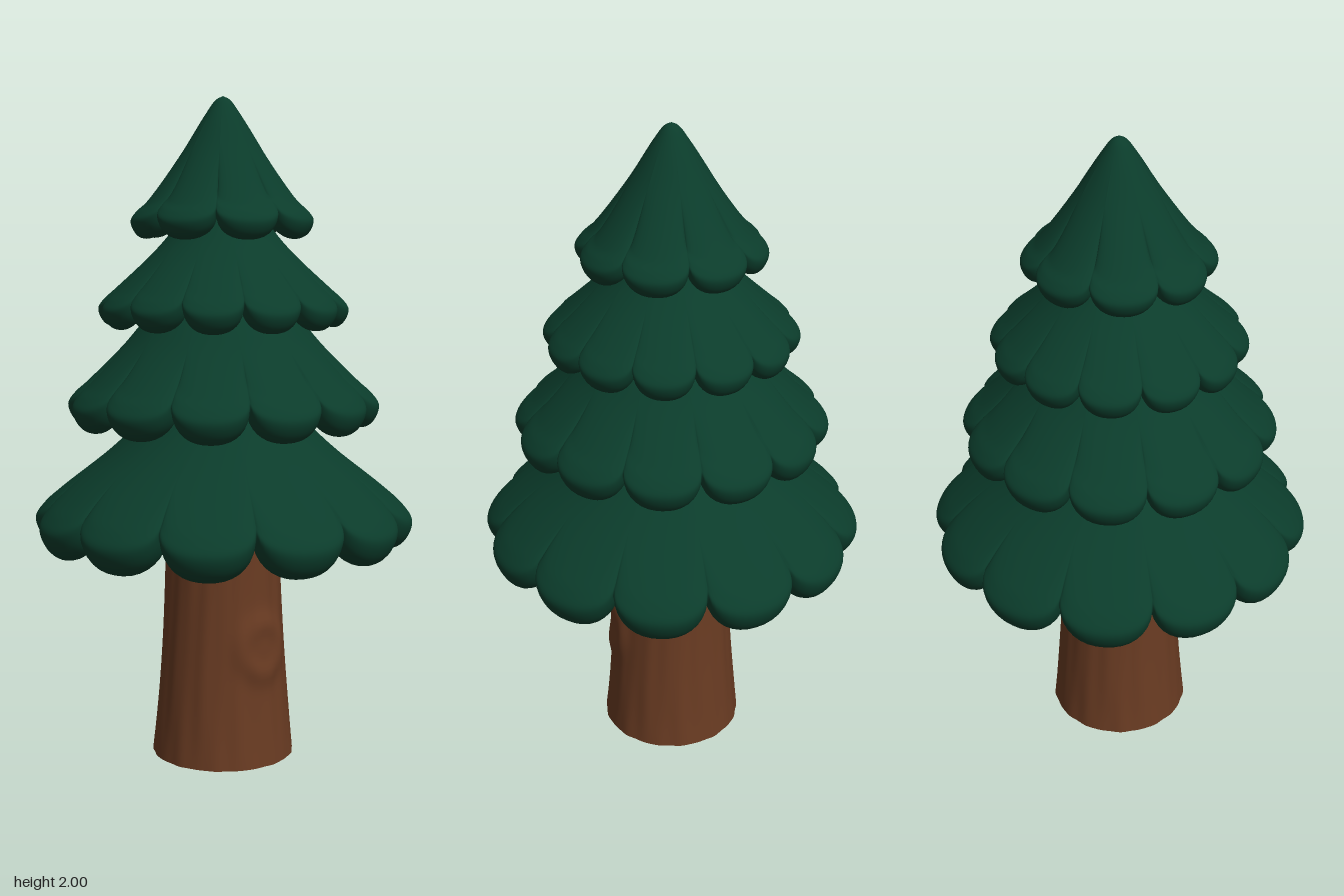
import * as THREE from 'three';

const leafMat = new THREE.MeshStandardMaterial({ color: 0x0b3c2b });
leafMat.name = 'pineGreen';
const barkMat = new THREE.MeshStandardMaterial({ color: 0x693b22 });
barkMat.name = 'barkBrown';

// Closed ring surface: fn(column, row) gives a point; rows run from top to bottom
function ringSurface(cols, rows, fn) {
  const pos = [], index = [];
  for (let j = 0; j < rows; j++)
    for (let i = 0; i < cols; i++) pos.push(...fn(i, j));
  for (let j = 0; j < rows - 1; j++)
    for (let i = 0; i < cols; i++) {
      const n = (i + 1) % cols;
      const a = j * cols + i, b = a + cols, c = b - i + n, d = a - i + n;
      index.push(a, b, c, a, c, d);
    }
  const geo = new THREE.BufferGeometry();
  geo.setAttribute('position', new THREE.Float32BufferAttribute(pos, 3));
  geo.setIndex(index);
  geo.computeVertexNormals();
  return geo;
}

// Smooth profile through [radius, height] points
const smooth = (points, count) => new THREE.CatmullRomCurve3(
  points.map(([r, y]) => new THREE.Vector3(r, y, 0)), false, 'centripetal').getPoints(count);

// Rim sections as [radial, height] offsets: through the middle of a lobe and through a notch
const LOBE_RIM = [
  [-0.075, 0.165], [-0.025, 0.12], [0, 0.08], [-0.015, 0.03], [-0.045, 0.002], [-0.085, 0], [-0.125, 0.035],
];
const NOTCH_RIM = [
  [-0.15, 0.222], [-0.09, 0.165], [-0.068, 0.138], [-0.075, 0.117], [-0.095, 0.108], [-0.13, 0.108], [-0.155, 0.125],
];

// Skirt of branches that blends between the lobe and notch sections
function tierGeometry({ R, y, lobes, rim, top, under }) {
  const section = (offsets) => {
    const pts = [...top, ...offsets.map(([r, h]) => [R + r * rim, y + h * rim]), under];
    return smooth(pts, pts.length * 5);
  };
  const lobe = section(LOBE_RIM), notch = section(NOTCH_RIM);
  const perLobe = 18;
  return ringSurface(lobes * perLobe, lobe.length, (i, j) => {
    // samples gather towards the notches
    const t = Math.sin((Math.PI / 2) * ((2 * (i % perLobe)) / perLobe - 1));
    const a = ((Math.floor(i / perLobe) + (t + 1) / 2) / lobes) * Math.PI * 2;
    const p = lobe[j].clone().lerp(notch[j], 1 - Math.sqrt(1 - Math.abs(t) ** 2.3));
    return [p.x * Math.sin(a), p.y, p.x * Math.cos(a)];
  });
}

// Flared trunk with faint bark grooves and a round knot on the front
function trunkGeometry() {
  const outline = smooth([
    [0.172, 0.92], [0.174, 0.7], [0.18, 0.5], [0.191, 0.3], [0.207, 0.1], [0.217, 0],
  ], 60);
  const rows = [...outline, outline[60].clone(), new THREE.Vector3(0, 0, 0)];
  const cols = 120;
  return ringSurface(cols, rows.length, (i, j) => {
    const a = (i / cols) * Math.PI * 2, { x: r0, y } = rows[j];
    let r = r0;
    if (r > 0) {
      r += 0.0012 * Math.sin(13 * a + 2 * Math.sin(5 * y)) + 0.0008 * Math.sin(22 * a - 4 * y);
      const side = Math.atan2(Math.sin(a), Math.cos(a)) * r0;
      const d = Math.hypot(side, (y - 0.36) * 0.9);
      r += 0.012 * Math.exp(-(((d - 0.065) / 0.033) ** 2)) + 0.007 * Math.exp(-((d / 0.035) ** 2));
    }
    return [r * Math.sin(a), y, r * Math.cos(a)];
  });
}

export function createModel() {
  const tree = new THREE.Group();
  tree.name = 'pineTree';

  const add = (name, geo, mat) => {
    const mesh = new THREE.Mesh(geo, mat);
    mesh.name = name;
    tree.add(mesh);
  };

  add('trunk', trunkGeometry(), barkMat);

  // Branch tiers from the bottom up; each upper end hides inside the next tier
  const tiers = [
    { name: 'bottomBranches', R: 0.577, y: 0.655, lobes: 12, rim: 1,
      top: [[0.13, 1.2], [0.19, 1.11], [0.265, 1.02], [0.35, 0.94]], under: [0.15, 0.9] },
    { name: 'lowerBranches', R: 0.472, y: 1.022, lobes: 12, rim: 0.8,
      top: [[0.1, 1.5], [0.17, 1.42], [0.245, 1.33], [0.3, 1.265]], under: [0.15, 1.13] },
    { name: 'upperBranches', R: 0.377, y: 1.322, lobes: 12, rim: 0.66,
      top: [[0.05, 1.75], [0.1, 1.68], [0.165, 1.59], [0.22, 1.53]], under: [0.13, 1.43] },
    { name: 'topBranches', R: 0.279, y: 1.585, lobes: 8, rim: 0.62,
      top: [[0, 2], [0.02, 1.99], [0.05, 1.95], [0.122, 1.835]], under: [0.08, 1.67] },
  ];
  for (const t of tiers) add(t.name, tierGeometry(t), leafMat);

  return tree;
}
